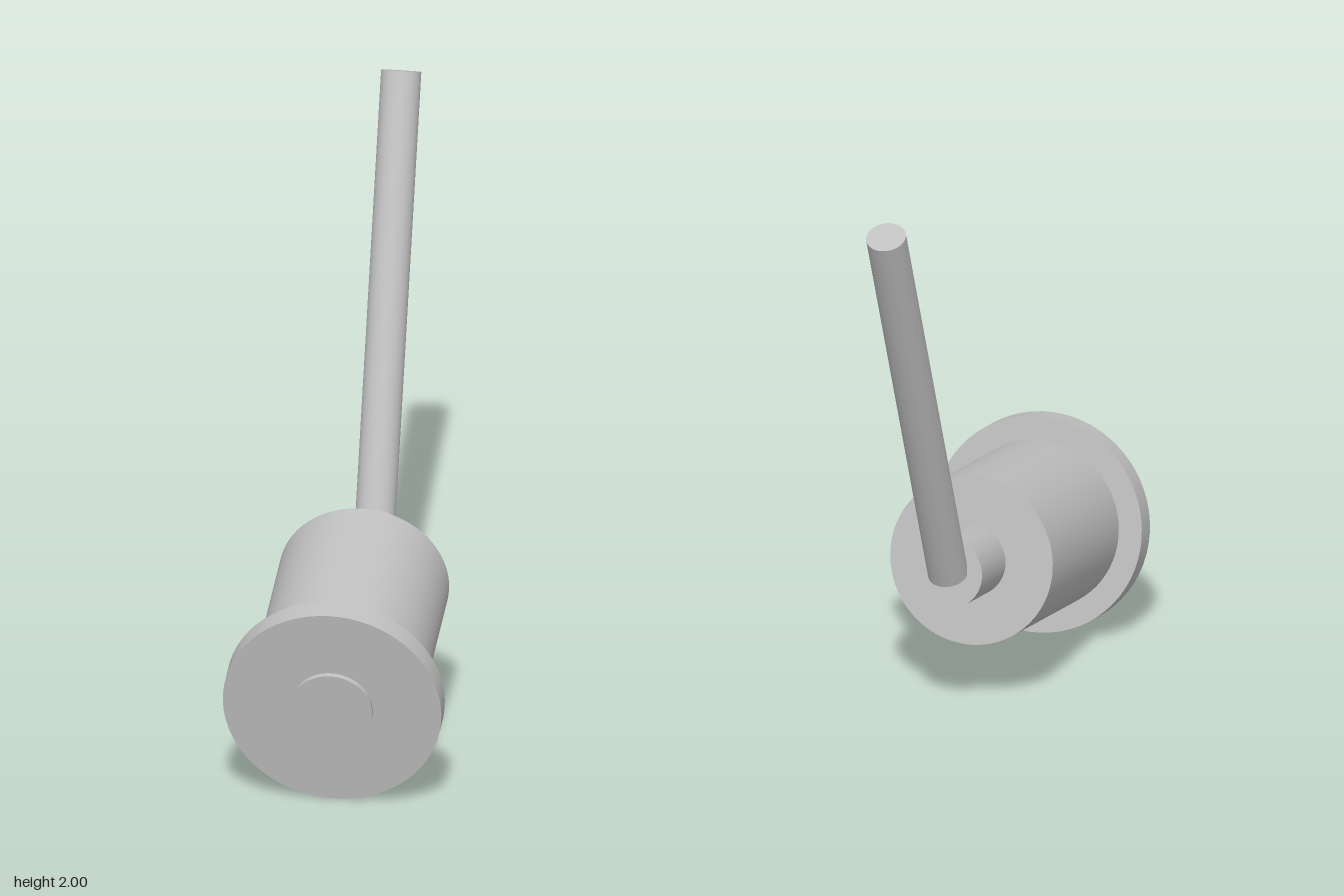
import * as THREE from 'three';

const grey = new THREE.MeshStandardMaterial({ color: 0xc0c0c0 });
grey.name = 'plain grey';

// Solid round bar between two points
function bar(name, from, to, radius) {
  const dir = to.clone().sub(from);
  const mesh = new THREE.Mesh(new THREE.CylinderGeometry(radius, radius, dir.length(), 64), grey);
  mesh.name = name;
  mesh.position.copy(from).add(to).multiplyScalar(0.5);
  mesh.quaternion.setFromUnitVectors(new THREE.Vector3(0, 1, 0), dir.normalize());
  return mesh;
}

export function createModel() {
  const model = new THREE.Group();
  model.name = 'malletWithTiltedHandle';

  // Common axis of the head, measured from the back of the drum towards the front
  const drumBack = new THREE.Vector3(-0.08, 0.498, -0.045);
  const axis = new THREE.Vector3(0.62, -0.178, 0.764).normalize();
  const along = (d) => drumBack.clone().addScaledVector(axis, d);

  model.add(
    bar('drum', along(0), along(0.68), 0.286),
    bar('flange', along(0.674), along(0.757), 0.367),
    bar('frontBoss', along(0.74), along(0.776), 0.137),
    bar('rearStem', along(-0.24), along(0.02), 0.12),
    // Handle rising from the centre of the stem's end
    bar('handle', along(-0.24), new THREE.Vector3(-0.615, 1.974, -0.708), 0.067),
  );
  return model;
}
